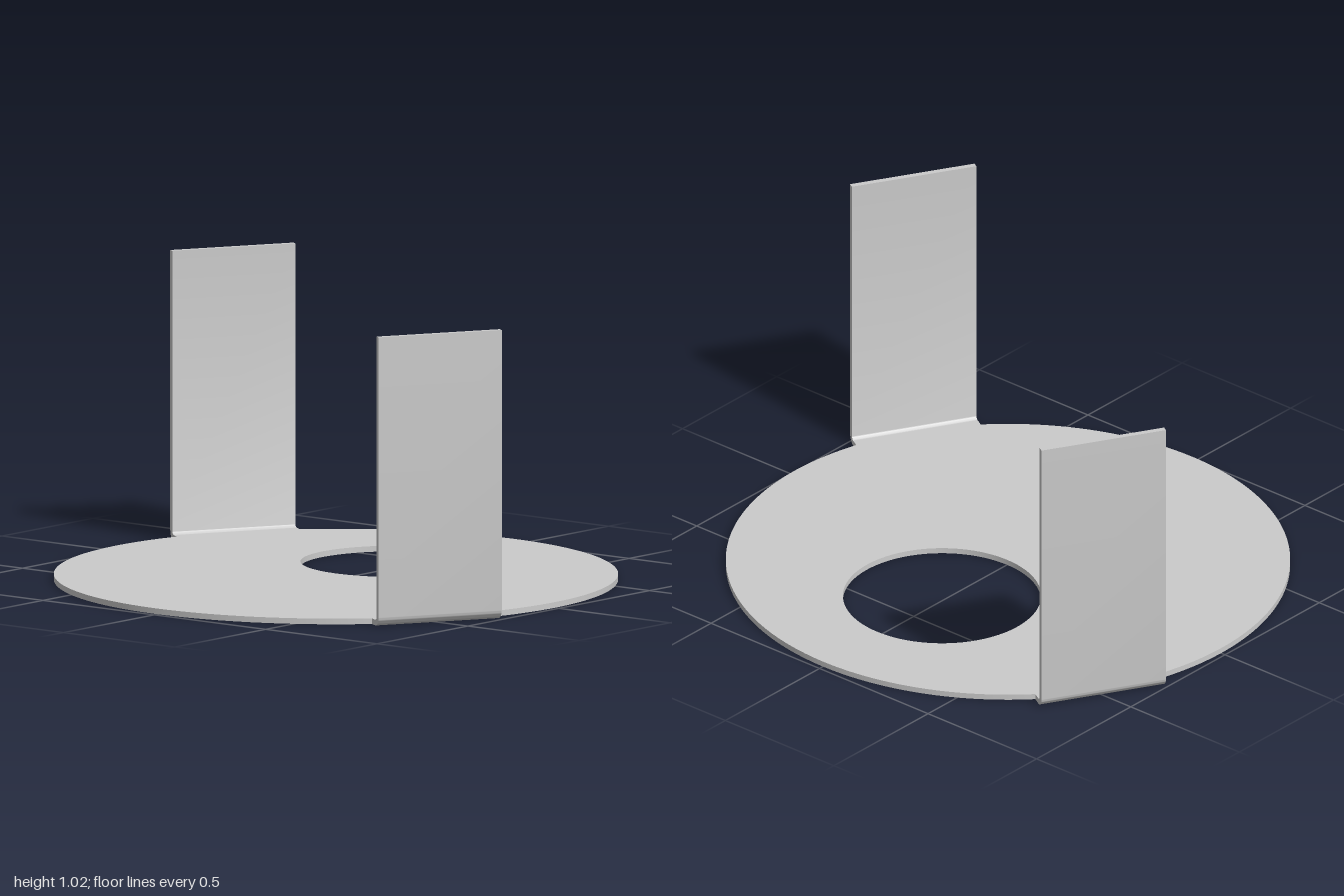
import * as THREE from 'three';
import { toCreasedNormals } from 'three/addons/utils/BufferGeometryUtils.js';

const R = 0.982;        // disc radius
const T = 0.02;         // sheet thickness
const H = 1.02;         // overall height
const REACH = 1.022;    // centre to outer face of an upright
const HALF = 0.229;     // half width of an upright
const BEND = 0.035;     // outer bend radius
const ANGLES = [Math.PI / 6, Math.PI * 7 / 6];

const material = new THREE.MeshStandardMaterial({ color: 0xcccccc });

function addMesh(group, geometry, name) {
  const mesh = new THREE.Mesh(toCreasedNormals(geometry, 0.5), material);
  mesh.name = name;
  group.add(mesh);
  return mesh;
}

// Flat disc with an off-centre hole and two straight stubs leading to the bends
function basePlate() {
  const shape = new THREE.Shape();
  const spread = Math.asin(HALF / R);
  ANGLES.forEach((a, i) => {
    const c = Math.cos(a), s = Math.sin(a), d = REACH - BEND;
    const corner = (side) => [d * c - side * HALF * s, d * s + side * HALF * c];
    if (i === 0) shape.moveTo(R * Math.cos(a - spread), R * Math.sin(a - spread));
    shape.lineTo(...corner(-1));
    shape.lineTo(...corner(1));
    shape.lineTo(R * Math.cos(a + spread), R * Math.sin(a + spread));
    shape.absarc(0, 0, R, a + spread, a + Math.PI - spread, false);
  });
  shape.holes.push(new THREE.Path().absarc(0, -0.35, 0.345, 0, Math.PI * 2, true));
  return new THREE.ExtrudeGeometry(shape, { depth: T, bevelEnabled: false, curveSegments: 64 })
    .rotateX(Math.PI / 2).translate(0, T, 0);
}

// Upright sheet with a rounded bend at its foot
function bentUpright() {
  const x = REACH - BEND;
  const profile = new THREE.Shape();
  profile.moveTo(x, 0);
  profile.absarc(x, BEND, BEND, -Math.PI / 2, 0, false);
  profile.lineTo(REACH, H);
  profile.lineTo(REACH - T, H);
  profile.lineTo(REACH - T, BEND);
  profile.absarc(x, BEND, BEND - T, 0, -Math.PI / 2, true);
  return new THREE.ExtrudeGeometry(profile, { depth: HALF * 2, bevelEnabled: false, curveSegments: 10 })
    .translate(0, 0, -HALF);
}

export function createModel() {
  const group = new THREE.Group();
  group.name = 'discBracket';
  addMesh(group, basePlate(), 'basePlate');
  ANGLES.forEach((a, i) => {
    addMesh(group, bentUpright(), i ? 'rightUpright' : 'leftUpright').rotation.y = -a;
  });
  return group;
}
